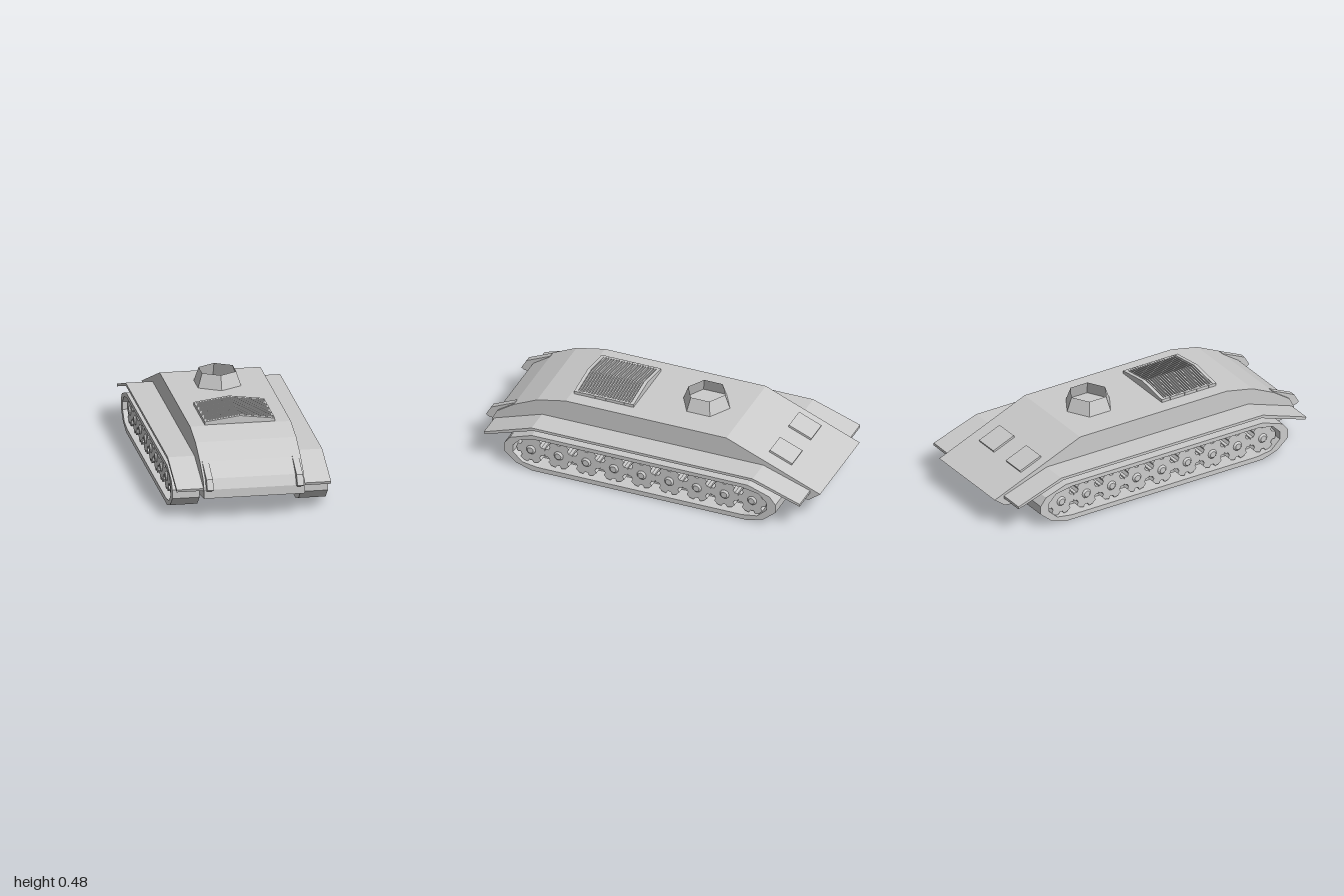
import * as THREE from 'three';

const material = new THREE.MeshStandardMaterial({ color: 0xcccccc, flatShading: true });
const shell = new THREE.MeshStandardMaterial({ color: 0xcccccc, flatShading: true, side: THREE.DoubleSide });

const toShape = (pts) => new THREE.Shape(pts.map(([a, b]) => new THREE.Vector2(a, b)));

// Extrudes a (z, y) side profile across the width from x0 to x1
function sideExtrude(shape, x0, x1) {
  const g = new THREE.ExtrudeGeometry(shape, { depth: x1 - x0, bevelEnabled: false });
  g.rotateY(-Math.PI / 2);
  g.translate(x1, 0, 0);
  return g;
}

// Extrudes an (x, y) front profile from z0 to z1
function frontExtrude(pts, z0, z1) {
  const g = new THREE.ExtrudeGeometry(toShape(pts), { depth: z1 - z0, bevelEnabled: false });
  g.translate(0, 0, z0);
  return g;
}

function add(parent, name, geometry, mat = material) {
  const mesh = new THREE.Mesh(geometry, mat);
  mesh.name = name;
  parent.add(mesh);
  return mesh;
}

// Closed loop mirrored front to back about the middle of the track
function trackLoop(half) {
  const zc = 0.013;
  return [
    ...half.map(([z, y]) => [zc + z, y]),
    ...half.slice().reverse().map(([z, y]) => [zc - z, y]),
  ];
}

// Notched wheel outline with six flared teeth
function wheelShape() {
  const pts = [];
  for (let i = 0; i < 6; i++) {
    for (const [offset, r] of [[-17, 0.083], [0, 0.086], [17, 0.083], [22, 0.066], [38, 0.066]]) {
      const a = THREE.MathUtils.degToRad(i * 60 + offset);
      pts.push([r * Math.cos(a), r * Math.sin(a)]);
    }
  }
  return toShape(pts);
}

export function createModel() {
  const model = new THREE.Group();
  model.name = 'trackedVehicle';

  // Hull
  add(model, 'hull', sideExtrude(toShape([
    [-1, 0.17], [-0.935, 0.12], [-0.79, 0.1], [-0.6, 0.075], [0.6, 0.075], [0.82, 0.105],
    [0.96, 0.125], [0.96, 0.175], [0.93, 0.23], [0.83, 0.298], [0.69, 0.364], [0.52, 0.4], [-0.44, 0.4],
  ]), -0.282, 0.282));

  // Open six-sided turret ring
  add(model, 'turretRing', new THREE.CylinderGeometry(0.11, 0.139, 0.08, 6, 1, true), shell)
    .position.set(0, 0.44, -0.205);

  // Engine grille: ridged bed, end frames, rails and ribs
  const grille = new THREE.Group();
  grille.name = 'engineGrille';
  model.add(grille);
  const ridge = [[-0.197, 0.395], [0.197, 0.395], [0.197, 0.417], [0, 0.443], [-0.197, 0.417]];
  const bed = ridge.map(([x, y]) => [x * 0.97, y > 0.4 ? y - 0.012 : y]);
  add(grille, 'grilleBed', frontExtrude(bed, 0.16, 0.495));
  add(grille, 'grilleFrameFront', frontExtrude(ridge, 0.485, 0.505));
  add(grille, 'grilleFrameRear', frontExtrude(ridge, 0.15, 0.17));
  const ribs = 20;
  for (let i = 0; i < ribs; i++) {
    const z = 0.17 + (i + 0.5) * (0.315 / ribs);
    add(grille, 'grilleRib', frontExtrude(ridge, z - 0.004, z + 0.004));
  }
  for (const s of [-1, 1]) {
    add(grille, 'grilleRail', new THREE.BoxGeometry(0.016, 0.021, 0.34)).position.set(s * 0.188, 0.4065, 0.3275);
  }

  // Rear hatches lying on the sloped deck
  const slope = Math.atan2(0.23, 0.56);
  for (const x of [-0.152, 0.12]) {
    const hatch = add(model, 'rearHatch', new THREE.BoxGeometry(0.145, 0.024, 0.145));
    hatch.position.set(x, 0.283, -0.725);
    hatch.rotation.x = -slope;
  }

  // Profiles shared by both sides
  const hook = toShape([[0.82, 0.28], [0.95, 0.17], [0.985, 0.175], [1, 0.185], [0.97, 0.238], [0.83, 0.302]]);
  const fender = toShape([
    [0.94, 0.165], [0.945, 0.18], [0.66, 0.277], [-0.66, 0.277], [-0.94, 0.18],
    [-0.94, 0.165], [-0.65, 0.261], [0.65, 0.261],
  ]);
  const outer = trackLoop([[0.645, 0], [0.74, 0.03], [0.81, 0.09], [0.81, 0.14], [0.775, 0.185], [0.645, 0.23]]);
  const inner = trackLoop([[0.61, 0.028], [0.7, 0.042], [0.757, 0.095], [0.757, 0.14], [0.71, 0.188], [0.61, 0.207]]);
  const track = toShape(outer);
  track.holes.push(new THREE.Path(inner.map(([a, b]) => new THREE.Vector2(a, b))));
  const wheel = wheelShape();

  for (const s of [-1, 1]) {
    // Extrudes between two distances from the centre line, on side s
    const place = (shape, a, b) => sideExtrude(shape, Math.min(s * a, s * b), Math.max(s * a, s * b));
    const side = new THREE.Group();
    side.name = s > 0 ? 'leftSide' : 'rightSide';
    model.add(side);

    add(side, 'towHook', place(hook, 0.234, 0.27));
    add(side, 'fender', place(fender, 0.28, 0.432));
    add(side, 'track', place(track, 0.283, 0.435));
    add(side, 'trackInnerWall', place(toShape(inner), 0.283, 0.33));

    // Nine road wheels with hub caps
    for (let i = 0; i < 9; i++) {
      const z = 0.673 - i * 0.165;
      add(side, 'roadWheel', place(wheel, 0.33, 0.41)).position.set(0, 0.118, z);
      const hub = new THREE.CylinderGeometry(0.018, 0.028, 0.01, 12);
      hub.rotateZ(-s * Math.PI / 2);
      add(side, 'wheelHub', hub).position.set(s * 0.415, 0.118, z);
    }
  }
  return model;
}
